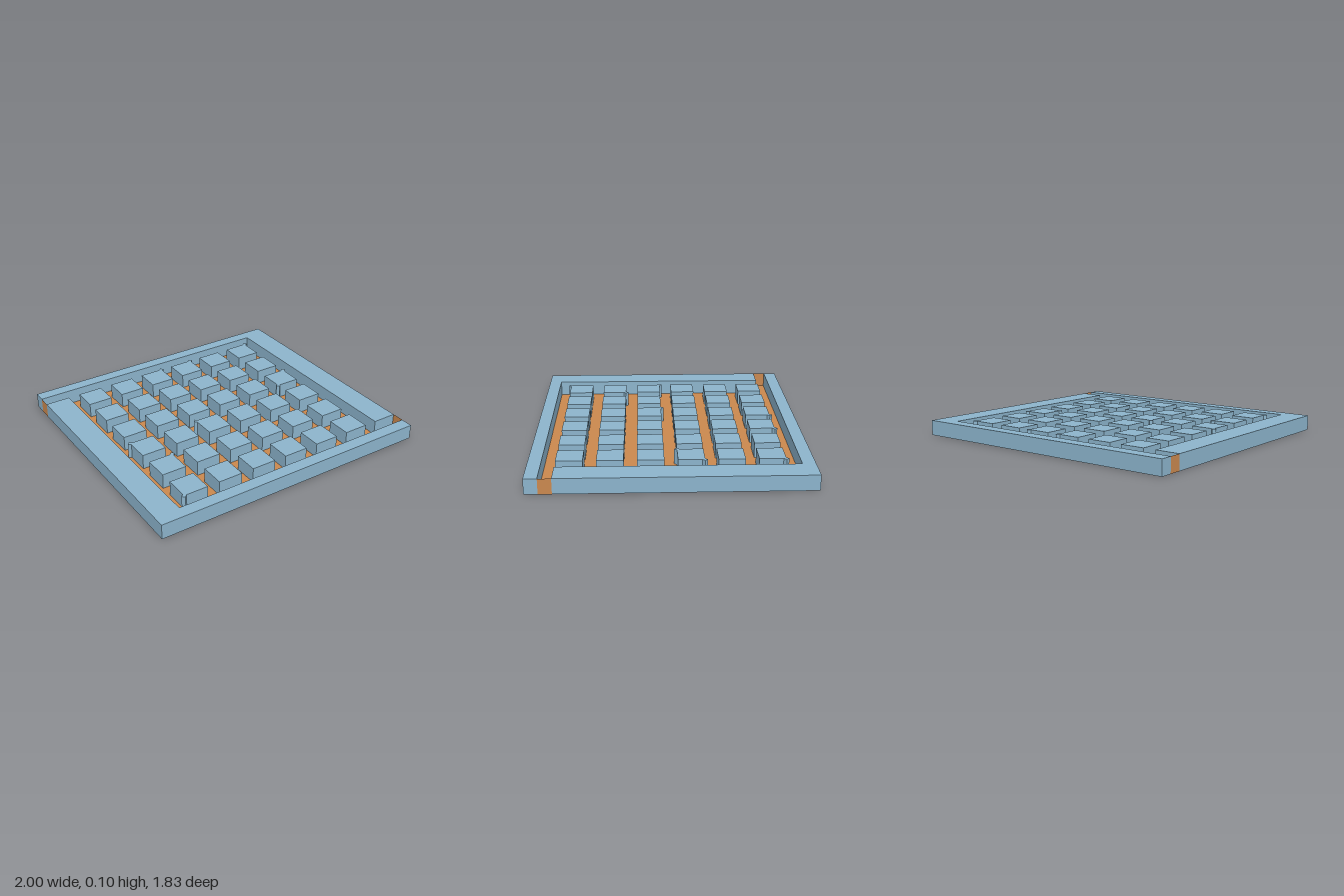
import * as THREE from 'three';

const U = 2 / 23;      // street width; every plan dimension is a multiple of it
const H = 0.105;       // height of blocks and rim

const blue = new THREE.MeshStandardMaterial({ color: 0x8cb4cc, side: THREE.DoubleSide, flatShading: true });
const orange = new THREE.MeshStandardMaterial({ color: 0xca884e, side: THREE.DoubleSide, flatShading: true });

// Plan outline in street units; plan y points to -z
const outline = (pts) => pts.map(([x, y]) => new THREE.Vector2(x * U, y * U));
const square = (cx, cy) => [[cx - 1, cy - 1], [cx + 1, cy - 1], [cx + 1, cy + 1], [cx - 1, cy + 1]];

function mesh(name, geometry, material) {
  const m = new THREE.Mesh(geometry, material);
  m.name = name;
  return m;
}

// Hollow block: flat roof and upright walls, open underneath
function shell(name, pts) {
  const loop = outline(pts);
  const group = new THREE.Group();
  group.name = name;
  const roof = new THREE.ShapeGeometry(new THREE.Shape(loop)).rotateX(-Math.PI / 2).translate(0, H, 0);
  group.add(mesh(name + 'Top', roof, blue));

  const pos = [];
  loop.forEach((a, i) => {
    const b = loop[(i + 1) % loop.length];
    pos.push(a.x, 0, -a.y, b.x, 0, -b.y, b.x, H, -b.y);
    pos.push(a.x, 0, -a.y, b.x, H, -b.y, a.x, H, -a.y);
  });
  const walls = new THREE.BufferGeometry();
  walls.setAttribute('position', new THREE.Float32BufferAttribute(pos, 3));
  walls.computeVertexNormals();
  group.add(mesh(name + 'Walls', walls, blue));
  return group;
}

export function createModel() {
  const model = new THREE.Group();
  model.name = 'streetGrid';

  // Rim: two L-shaped halves, each the other turned by half a turn
  const rim = [[-11.5, 9.5], [9.5, 9.5], [9.5, -8.5], [11.5, -8.5], [11.5, 10.5], [-11.5, 10.5]];
  model.add(shell('rimBackRight', rim));
  model.add(shell('rimFrontLeft', rim.map(([x, y]) => [-x, -y])));

  // Street floor with an opening under every block
  const floor = new THREE.Shape(outline([
    [-9.5, -9.5], [11.5, -9.5], [11.5, -8.5], [9.5, -8.5],
    [9.5, 9.5], [-11.5, 9.5], [-11.5, 8.5], [-9.5, 8.5],
  ]));

  // Six by six blocks
  for (let i = 0; i < 6; i++) {
    for (let j = 0; j < 6; j++) {
      const plan = square((i - 2.5) * 3, (j - 2.5) * 3);
      floor.holes.push(new THREE.Path(outline(plan).reverse()));
      model.add(shell('block', plan));
    }
  }
  model.add(mesh('streetFloor', new THREE.ShapeGeometry(floor).rotateX(-Math.PI / 2), orange));

  // Gates closing the two street ends
  for (const s of [1, -1]) {
    const gate = mesh('gate', new THREE.PlaneGeometry(U, H), orange);
    gate.rotation.y = s * Math.PI / 2;
    gate.position.set(s, H / 2, s * 9 * U);
    model.add(gate);
  }

  // Slim diamond posts at some block corners (x, z in street units)
  const posts = [
    [-0.5, -8.5], [2.5, -8.5], [8.5, -8.5], [8.5, -2.5], [6.5, -0.5],
    [-8.5, 0.5], [-2.5, 0.5], [-6.5, 3.5], [-8.5, 8.5],
  ];
  const postGeometry = new THREE.CylinderGeometry(0.018, 0.018, H, 4);
  for (const [x, z] of posts) {
    const post = mesh('cornerPost', postGeometry, blue);
    post.position.set(x * U, H / 2, z * U);
    model.add(post);
  }

  return model;
}
